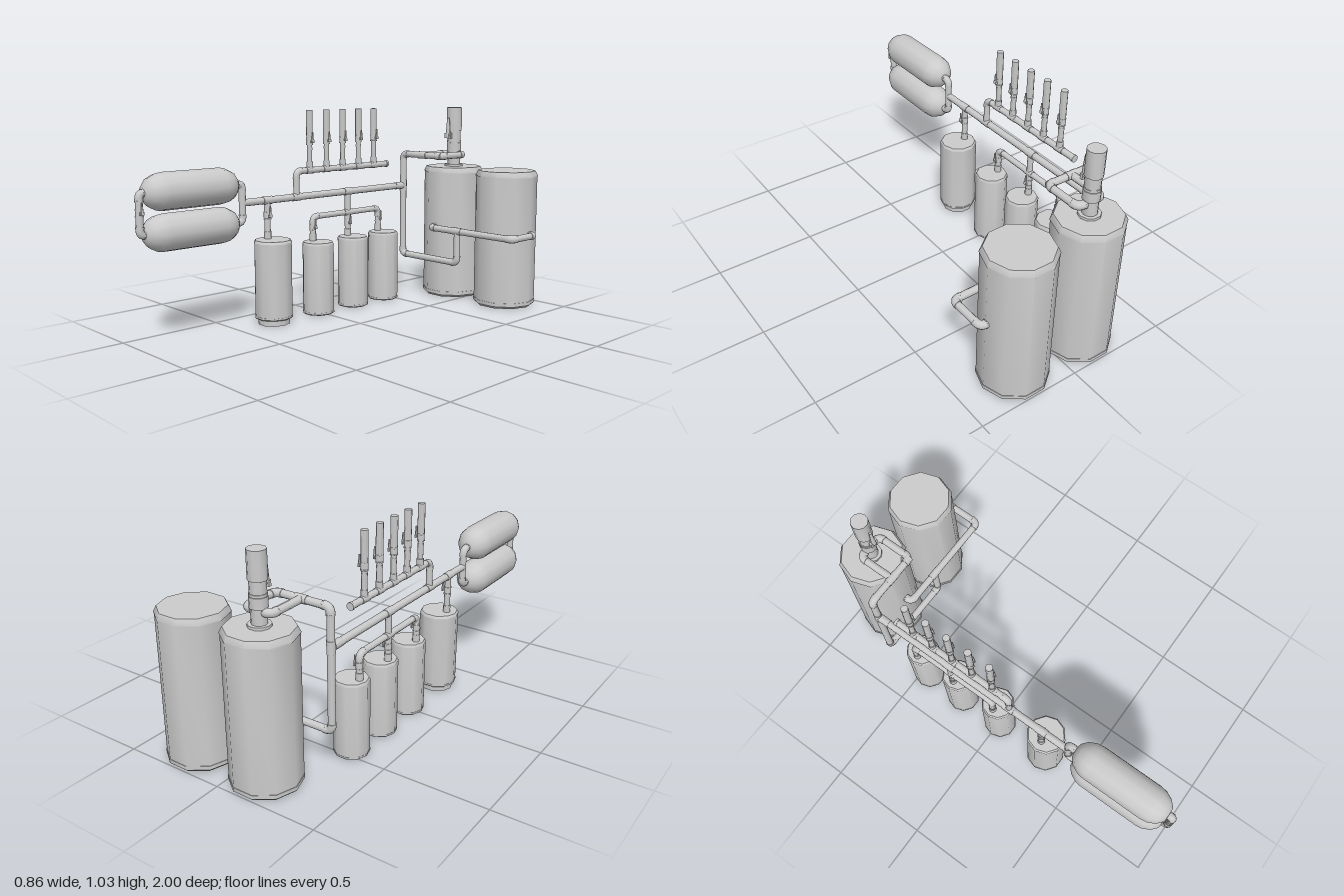
import * as THREE from 'three';
import { toCreasedNormals } from 'three/addons/utils/BufferGeometryUtils.js';

const material = new THREE.MeshStandardMaterial({ color: 0xcccccc });
const V = (x, y, z) => new THREE.Vector3(x, y, z);
const PX = -0.344; // x of the main pipe run
const PZ = -0.66;  // z of the pipe run before the big tanks
const PR = 0.0175; // pipe radius

function add(parent, name, geometry, x = 0, y = 0, z = 0) {
  const mesh = new THREE.Mesh(geometry, material);
  mesh.name = name;
  mesh.position.set(x, y, z);
  parent.add(mesh);
  return mesh;
}

// Turned solid from [radius, height] pairs, listed bottom to top
function turned(profile, sides = 10) {
  const pts = profile.map(([r, y]) => new THREE.Vector2(r, y));
  return toCreasedNormals(new THREE.LatheGeometry(pts, sides).rotateY(Math.PI / 2), 0.7);
}

// Cylinder between two points
function rod(parent, name, a, b, r, sides = 10) {
  const dir = b.clone().sub(a);
  const mesh = add(parent, name, new THREE.CylinderGeometry(r, r, dir.length(), sides));
  mesh.position.copy(a).add(b).multiplyScalar(0.5);
  mesh.quaternion.setFromUnitVectors(V(0, 1, 0), dir.normalize());
  return mesh;
}

// Straight runs joined by slightly thicker elbows
function pipe(parent, name, points, r = PR, bend = 0.03) {
  const group = new THREE.Group();
  group.name = name;
  parent.add(group);
  const last = points.length - 1;
  for (let i = 0; i < last; i++) {
    const d = points[i + 1].clone().sub(points[i]);
    const b = Math.min(bend, d.length() * 0.49);
    d.normalize();
    const start = points[i].clone().addScaledVector(d, i > 0 ? b : 0);
    const end = points[i + 1].clone().addScaledVector(d, i + 1 < last ? -b : 0);
    rod(group, 'pipeRun', start, end, r);
    if (i + 1 < last) {
      const next = points[i + 2].clone().sub(points[i + 1]);
      const nb = Math.min(bend, next.length() * 0.49);
      const exit = points[i + 1].clone().addScaledVector(next.normalize(), nb);
      const curve = new THREE.QuadraticBezierCurve3(end, points[i + 1], exit);
      add(group, 'elbow', new THREE.TubeGeometry(curve, 6, r * 1.12, 10));
      rod(group, 'elbowCollar', end.clone().addScaledVector(d, -0.006), end, r * 1.15);
      rod(group, 'elbowCollar', exit, exit.clone().addScaledVector(next, 0.006), r * 1.15);
    }
  }
  return group;
}

// Valve on a vertical pipe, its lever on the +x side
function valve(parent, x, y, z, scale = 1, turn = 0) {
  const group = new THREE.Group();
  group.name = 'valve';
  group.position.set(x, y, z);
  group.rotation.y = turn;
  group.scale.setScalar(scale);
  parent.add(group);
  add(group, 'valveBody', new THREE.CylinderGeometry(0.0155, 0.0155, 0.022, 10));
  for (const s of [-1, 1]) {
    add(group, 'valveCollar', new THREE.CylinderGeometry(0.0165, 0.0165, 0.005, 10), 0, s * 0.014, 0);
  }
  rod(group, 'valveStem', V(0.01, 0, 0), V(0.025, 0, 0), 0.006, 8);
  add(group, 'leverHub', new THREE.BoxGeometry(0.006, 0.012, 0.018), 0.021, 0, 0);
  const lever = new THREE.CylinderGeometry(0.003, 0.006, 0.042, 6);
  add(group, 'lever', lever, 0.022, 0.021, 0);
}

// Upright drum with a rim band at each end
function tank(parent, name, x, z, r, y0, y1, band) {
  const rim = r * 0.985, end = r * 0.92, c = band * 0.4;
  add(parent, name, turned([
    [0, y0], [end, y0], [r, y0 + c], [r, y0 + band], [rim, y0 + band],
    [rim, y1 - band], [r, y1 - band], [r, y1 - band * 0.85], [end, y1], [0, y1],
  ]), x, 0, z);
}

export function createModel() {
  const model = new THREE.Group();
  model.name = 'tankSystem';

  // Two large tanks and four small ones
  tank(model, 'largeTank', -0.139, -0.846, 0.161, 0, 0.71, 0.03);
  tank(model, 'largeTank', 0.224, -0.846, 0.161, 0, 0.71, 0.03);
  tank(model, 'mediumTank', -0.304, 0.293, 0.095, 0.028, 0.413, 0.014);
  add(model, 'mediumTankFoot', turned([[0, 0], [0.079, 0], [0.079, 0.03], [0, 0.03]]), -0.304, 0, 0.293);
  const smallZ = [0.005, -0.236, -0.46];
  for (const z of smallZ) tank(model, 'smallTank', -0.304, z, 0.082, 0, 0.368, 0.014);

  // Pair of lying capsule tanks
  for (const y of [0.69, 0.508]) {
    const capsule = turned([
      [0, -0.243], [0.035, -0.24], [0.064, -0.215], [0.081, -0.18], [0.086, -0.15],
      [0.086, 0.15], [0.081, 0.18], [0.064, 0.215], [0.035, 0.24], [0, 0.243],
    ], 12);
    add(model, 'capsuleTank', capsule.rotateX(Math.PI / 2), PX, y, 0.72);
  }
  for (const [near, far] of [[0.95, 0.982], [0.49, 0.44]]) {
    pipe(model, 'capsulePipe', [V(PX, 0.69, near), V(PX, 0.69, far), V(PX, 0.508, far), V(PX, 0.508, near)], PR * 0.95);
  }
  valve(model, PX, 0.605, 0.982, 1.15);

  // Main run, and riser behind it
  pipe(model, 'mainPipe', [V(PX, 0.6, 0.44), V(PX, 0.6, PZ)]);
  for (const z of [0.293, 0.11, -0.236, -0.62]) {
    rod(model, 'teeCollar', V(PX, 0.6, z - 0.028), V(PX, 0.6, z + 0.028), PR * 1.13);
  }

  // Drops to the small tanks
  pipe(model, 'smallTankHeader', [
    V(PX, 0.36, smallZ[0]), V(PX, 0.49, smallZ[0]), V(PX, 0.49, smallZ[2]), V(PX, 0.36, smallZ[2]),
  ], 0.015);
  pipe(model, 'headerFeed', [V(PX, 0.36, smallZ[1]), V(PX, 0.6, smallZ[1])], 0.015);
  rod(model, 'teeCollar', V(PX, 0.49, smallZ[1] - 0.026), V(PX, 0.49, smallZ[1] + 0.026), 0.0172);
  pipe(model, 'mediumTankFeed', [V(PX, 0.4, 0.293), V(PX, 0.6, 0.293)], 0.015);
  for (const z of smallZ) valve(model, PX, 0.435, z, 1.05);
  valve(model, PX, 0.525, 0.293, 1.15);
  for (const [z, y] of [[0.293, 0.413], ...smallZ.map((z) => [z, 0.368])]) {
    rod(model, 'tankNeck', V(PX, y - 0.005, z), V(PX, y + 0.035, z), 0.0175);
  }

  // Vent header with five vents
  pipe(model, 'ventHeader', [V(PX, 0.6, 0.11), V(PX, 0.728, 0.11), V(PX, 0.728, -0.525)], 0.0155);
  rod(model, 'headerCap', V(PX, 0.728, -0.515), V(PX, 0.728, -0.528), 0.018);
  for (let i = 0; i < 5; i++) {
    const z = 0.022 - i * 0.112;
    add(model, 'vent', turned([
      [0, 0.728], [0.016, 0.728], [0.016, 0.77], [0.013, 0.77], [0.013, 0.83], [0.0145, 0.83],
      [0.0145, 0.842], [0.013, 0.842], [0.013, 0.876], [0.0165, 0.876], [0.0165, 1.028], [0, 1.028],
    ]), PX, 0, z);
    rod(model, 'teeCollar', V(PX, 0.728, z - 0.026), V(PX, 0.728, z + 0.026), 0.0175);
    valve(model, PX, 0.872, z, 1.1);
  }

  // Stack on the left large tank
  add(model, 'stack', turned([
    [0, 0.7], [0.05, 0.7], [0.05, 0.722], [0.034, 0.722], [0.034, 0.79], [0.039, 0.79], [0.039, 0.838],
    [0.035, 0.838], [0.035, 0.905], [0.041, 0.905], [0.041, 1.03], [0, 1.03],
  ]), -0.138, 0, -0.846);
  valve(model, -0.138, 0.877, -0.846, 2.3, -Math.PI / 2);

  // Riser, upper fork into the stack, lower run and cross pipe
  pipe(model, 'riser', [
    V(-0.069, 0.775, PZ), V(PX, 0.775, PZ), V(PX, 0.215, PZ), V(0.05, 0.215, PZ), V(0.05, 0.385, PZ),
  ]);
  pipe(model, 'stackFeed', [V(-0.138, 0.775, PZ), V(-0.069, 0.775, PZ), V(-0.069, 0.775, -0.846), V(-0.138, 0.775, -0.846)]);
  pipe(model, 'stackFeed', [V(-0.2, 0.775, PZ), V(-0.2, 0.775, -0.846), V(-0.138, 0.775, -0.846)]);
  pipe(model, 'crossPipe', [
    V(-0.138, 0.385, -0.72), V(-0.138, 0.385, PZ), V(0.408, 0.385, PZ), V(0.408, 0.385, -0.846), V(0.36, 0.385, -0.846),
  ]);
  rod(model, 'teeCollar', V(0.02, 0.385, PZ), V(0.08, 0.385, PZ), PR * 1.13);
  rod(model, 'teeCollar', V(PX, 0.57, PZ), V(PX, 0.63, PZ), PR * 1.13);
  rod(model, 'teeCollar', V(-0.23, 0.775, PZ), V(-0.17, 0.775, PZ), PR * 1.13);

  return model;
}
